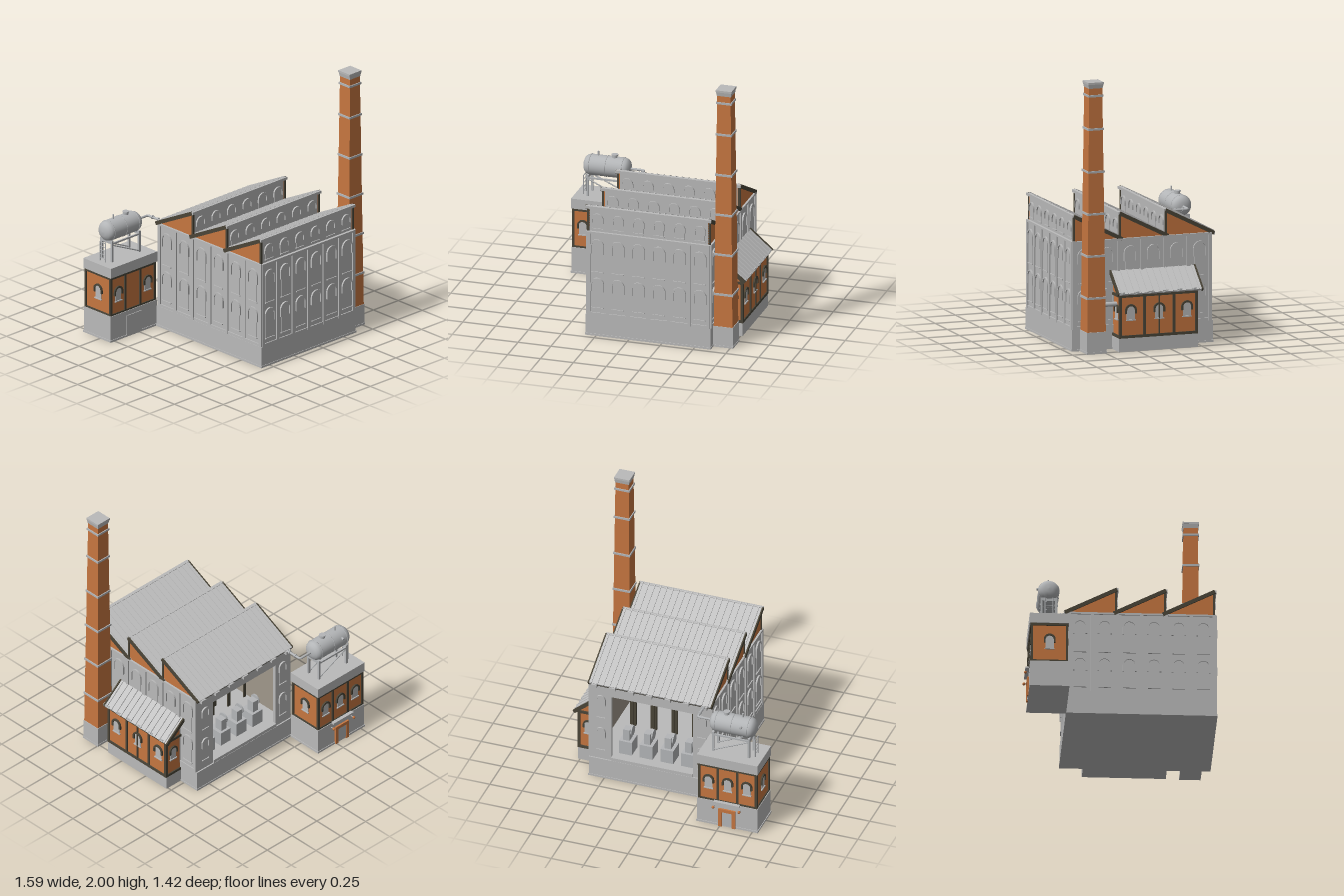
import * as THREE from 'three';

const mat = (name, color, side = THREE.FrontSide) => {
  const m = new THREE.MeshStandardMaterial({ color, side });
  m.name = name;
  return m;
};

export function createModel() {
  const root = new THREE.Group();
  root.name = 'factory';
  const stone = mat('pale stone', 0xbababa);
  const roofGrey = mat('roof metal', 0xc2c2c2);
  const brick = mat('orange brick', 0xc67640);
  const trim = mat('dark trim', 0x4a4538);
  const plaster = mat('inner plaster', 0xa0978a);
  const steel = mat('steel', 0xb4b6b8);

  // ---- helpers ----
  const group = (name, parent = root) => {
    const g = new THREE.Group();
    g.name = name;
    parent.add(g);
    return g;
  };
  const add = (p, name, geo, m) => {
    const mesh = new THREE.Mesh(geo, m);
    mesh.name = name;
    p.add(mesh);
    return mesh;
  };
  const box = (p, name, m, x0, x1, y0, y1, z0, z1) => {
    const b = add(p, name, new THREE.BoxGeometry(x1 - x0, y1 - y0, z1 - z0), m);
    b.position.set((x0 + x1) / 2, (y0 + y1) / 2, (z0 + z1) / 2);
    return b;
  };
  const rod = (p, name, m, a, b, r, sides = 10) => {
    const A = new THREE.Vector3(...a), B = new THREE.Vector3(...b), d = B.clone().sub(A);
    const c = add(p, name, new THREE.CylinderGeometry(r, r, d.length(), sides), m);
    c.position.copy(A).add(B).multiplyScalar(0.5);
    c.quaternion.setFromUnitVectors(new THREE.Vector3(0, 1, 0), d.normalize());
    return c;
  };
  const FACE = { front: 0, right: Math.PI / 2, back: Math.PI, left: -Math.PI / 2 };
  const facing = (p, name, dir, x, y, z) => {
    const g = group(name, p);
    g.position.set(x, y, z);
    g.rotation.y = FACE[dir];
    return g;
  };
  // outline of an arched opening standing on y = base
  const arch = (S, w, h, base = 0) => {
    const s = new S(), r = w / 2;
    s.moveTo(-r, base);
    s.lineTo(r, base);
    s.lineTo(r, h - r);
    s.absarc(0, h - r, r, 0, Math.PI, false);
    s.lineTo(-r, base);
    return s;
  };
  const extrude = (s, depth) => new THREE.ExtrudeGeometry(s, { depth, bevelEnabled: false, curveSegments: 6 });
  // arched window: pane, raised frame and sill
  const archWindow = (p, dir, x, y, z, w, h, frameMat, paneMat, t = 0.012) => {
    const g = facing(p, 'archedWindow', dir, x, y, z);
    add(g, 'pane', extrude(arch(THREE.Shape, w, h), 0.003), paneMat);
    const r = w / 2 + t, spring = h - w / 2, low = spring - h * 0.25;
    const f = new THREE.Shape();
    f.moveTo(w / 2, low);
    f.lineTo(r, low);
    f.lineTo(r, spring);
    f.absarc(0, spring, r, 0, Math.PI, false);
    f.lineTo(-r, low);
    f.lineTo(-w / 2, low);
    f.lineTo(-w / 2, spring);
    f.absarc(0, spring, w / 2, Math.PI, 0, true);
    add(g, 'hood', extrude(f, 0.012), frameMat);
    box(g, 'sill', paneMat, -w / 2 - 0.006, w / 2 + 0.006, -0.008, 0, 0, 0.01);
  };

  // ---- main hall ----
  const X0 = -0.32, X1 = 0.615, Z0 = -0.375, Z1 = 0.7, T = 0.025, TOP = 0.81;
  const hall = group('hall');
  box(hall, 'plinth', stone, X0 - 0.01, X1 + 0.005, 0.015, 0.16, Z0 - 0.01, Z1 + 0.008);
  box(hall, 'footing', stone, X0 - 0.014, X1 + 0.008, 0, 0.015, Z0 - 0.014, Z1 + 0.012);
  box(hall, 'frontWall', stone, X0, X1, 0.16, TOP, Z1 - T, Z1);
  box(hall, 'rightWall', stone, X1 - T, X1, 0.16, TOP, Z0, Z1 - T);
  box(hall, 'leftWall', stone, X0, X0 + T, 0.16, TOP, Z0, Z1 - T);
  const OX0 = -0.18, OX1 = 0.45, OY = 0.71;
  box(hall, 'backPier', stone, X0 + T, OX0, 0.16, TOP, Z0, Z0 + T);
  box(hall, 'backPier', stone, OX1, X1 - T, 0.16, TOP, Z0, Z0 + T);
  box(hall, 'lintel', stone, OX0, OX1, OY, TOP, Z0, Z0 + T);
  box(hall, 'openingSill', stone, OX0, OX1, 0.16, 0.185, Z0 - 0.008, Z0 + T);
  box(hall, 'innerLeft', plaster, X0 + T, X0 + T + 0.005, 0.16, 0.79, Z0 + T, Z1 - T);
  box(hall, 'innerRight', plaster, X1 - T - 0.005, X1 - T, 0.16, 0.79, Z0 + T, Z1 - T);
  box(hall, 'innerFront', plaster, X0 + T, X1 - T, 0.16, 0.79, Z1 - T - 0.005, Z1 - T);
  box(hall, 'ceiling', trim, X0 + T, X1 - T, 0.785, 0.795, Z0 + T, Z1 - T);

  // pilasters, bands and windows on the three closed walls
  const bays = 6;
  const wallRun = (dir, from, to, plane) => {
    const g = group(dir + 'Facade', hall), n = Math.abs(to - from), step = n / bays;
    const f = facing(g, 'panels', dir, ...(dir === 'front' ? [from, 0, plane] : [plane, 0, dir === 'right' ? to : from]));
    box(f, 'lowerBand', stone, 0, n, 0.16, 0.18, 0, 0.008);
    box(f, 'upperBand', stone, 0, n, 0.795, TOP, 0, 0.01);
    for (let i = 0; i <= bays; i++) {
      const c = Math.min(Math.max(i * step, 0.012), n - 0.012);
      box(f, 'pilaster', stone, c - 0.012, c + 0.012, 0.16, TOP, 0, 0.01);
    }
    for (let i = 0; i < bays; i++) {
      const c = (i + 0.5) * step;
      archWindow(f, 'front', c, 0.22, 0, 0.08, 0.22, stone, stone);
      archWindow(f, 'front', c, 0.5, 0, 0.08, 0.24, stone, stone);
    }
  };
  wallRun('front', X0, X1, Z1);
  wallRun('right', Z0, Z1, X1);
  wallRun('left', Z0, Z1, X0);
  for (const x of [-0.25, 0.53])
    for (const y of [0.24, 0.52]) archWindow(hall, 'back', x, y, Z0, 0.055, 0.18, stone, stone, 0.01);

  // ---- sawtooth roof ----
  const roof = group('sawtoothRoof');
  for (const peak of [0.69, 0.335, -0.02]) {
    const run = 0.355, rise = 0.18, a = Math.atan2(rise, run), len = Math.hypot(run, rise) + 0.025;
    const tooth = group('roofTooth', roof);
    const tri = new THREE.Shape();
    tri.moveTo(-peak, TOP);
    tri.lineTo(run - peak, TOP);
    tri.lineTo(-peak, TOP + rise - 0.005);
    for (const x of [X0 + 0.005, X1 - 0.02]) {
      const e = add(tooth, 'brickGable', extrude(tri, 0.015), brick);
      e.rotation.y = Math.PI / 2;
      e.position.x = x;
    }
    box(tooth, 'clerestoryWall', stone, X0 + 0.01, X1 - 0.01, 0.8, 0.985, peak - 0.012, peak);
    box(tooth, 'ridgeCap', stone, X0 - 0.012, X1 + 0.008, 0.985, 1.005, peak - 0.012, peak + 0.014);
    for (let i = 0; i < bays; i++) {
      const w = (X1 - X0) / bays;
      archWindow(tooth, 'front', X0 + (i + 0.5) * w, 0.835, peak, 0.07, 0.105, stone, stone, 0.01);
    }
    for (const x of [X0 + 0.006, X1 - 0.006])
      box(tooth, 'clerestoryEdge', trim, x - 0.008, x + 0.008, 0.81, 0.985, peak - 0.01, peak + 0.004);
    const slab = group('slope', tooth);
    slab.position.set(0, 0.9, peak - run / 2 - 0.008);
    slab.rotation.x = -a;
    box(slab, 'sheeting', roofGrey, X0 - 0.005, X1 + 0.002, -0.001, 0.012, -len / 2, len / 2);
    box(slab, 'underside', trim, X0 - 0.004, X1, -0.01, -0.001, -len / 2, len / 2);
    for (const x of [X0 - 0.01, X1 + 0.004])
      box(slab, 'verge', trim, x - 0.005, x + 0.005, -0.014, 0.014, -len / 2, len / 2);
    for (let i = 0; i < 20; i++) {
      const x = X0 + 0.018 + i * 0.0473;
      box(slab, 'seam', roofGrey, x - 0.004, x + 0.004, 0.01, 0.019, -len / 2, len / 2);
    }
  }
  for (let i = 0; i < 7; i++) {
    const x = X0 + 0.02 + i * 0.142;
    box(roof, 'eaveBracket', stone, x, x + 0.045, 0.785, 0.81, -0.41, Z0);
  }

  // ---- machines inside the hall ----
  const works = group('machinery');
  rod(works, 'lineShaft', trim, [-0.25, 0.68, -0.12], [0.55, 0.68, -0.12], 0.01);
  for (const x of [-0.1, 0.06, 0.22, 0.38]) {
    box(works, 'bench', steel, x - 0.05, x + 0.05, 0.16, 0.27, -0.27, -0.15);
    box(works, 'machineHead', steel, x - 0.025, x + 0.025, 0.27, 0.36, -0.25, -0.19);
    rod(works, 'flywheel', steel, [x - 0.04, 0.34, -0.21], [x - 0.03, 0.34, -0.21], 0.04, 16);
    box(works, 'belt', trim, x - 0.012, x + 0.012, 0.34, 0.7, -0.14, -0.13);
    box(works, 'column', trim, x + 0.055, x + 0.075, 0.16, 0.79, 0.1, 0.12);
  }

  // ---- chimney ----
  const chimney = group('chimney');
  const CX = 0.695, CZ = 0.57;
  const half = y => 0.071 - (y - 0.16) / 1.8 * 0.02;
  const square = (name, m, y0, y1, h0, h1) => {
    const g = new THREE.CylinderGeometry(h1 * Math.SQRT2, h0 * Math.SQRT2, y1 - y0, 4).rotateY(Math.PI / 4).toNonIndexed();
    g.computeVertexNormals();
    add(chimney, name, g, m).position.set(CX, (y0 + y1) / 2, CZ);
  };
  square('chimneyFoot', stone, 0, 0.015, 0.078, 0.078);
  square('chimneyBase', stone, 0.015, 0.16, 0.075, 0.075);
  square('shaft', brick, 0.16, 1.96, half(0.16), half(1.96));
  for (const y of [0.41, 0.72, 1.03, 1.34, 1.655, 1.9])
    square('band', steel, y - 0.008, y + 0.008, half(y) + 0.007, half(y) + 0.007);
  square('capFlare', stone, 1.955, 1.985, 0.053, 0.058);
  square('capTop', stone, 1.985, 2, 0.06, 0.06);
  rod(chimney, 'flue', steel, [0.695, 0.345, 0.39], [0.695, 0.345, 0.51], 0.017, 12);

  // ---- lean-to annex ----
  const annex = group('annex');
  const AX = 0.765;
  box(annex, 'annexBase', stone, X1, AX, 0, 0.1, -0.215, 0.395);
  box(annex, 'annexBrick', brick, X1, AX - 0.004, 0.1, 0.42, -0.205, 0.385);
  box(annex, 'bottomBeam', trim, X1, AX + 0.004, 0.1, 0.12, -0.215, 0.395);
  box(annex, 'topBeam', trim, X1, AX + 0.004, 0.4, 0.42, -0.215, 0.395);
  for (const z of [-0.205, -0.03, 0.2, 0.385])
    box(annex, 'post', trim, AX - 0.016, AX + 0.004, 0.11, 0.41, z - 0.01, z + 0.01);
  box(annex, 'mullion', trim, AX - 0.01, AX + 0.006, 0.12, 0.4, 0.081, 0.089);
  for (const z of [-0.13, 0.085, 0.305]) archWindow(annex, 'right', AX - 0.004, 0.235, z, 0.062, 0.1, trim, stone, 0.014);
  for (const [dir, z] of [['front', 0.385], ['back', -0.205]])
    archWindow(annex, dir, 0.69, 0.235, z, 0.055, 0.1, trim, stone, 0.012);
  const side = new THREE.Shape();
  side.moveTo(X1, 0.42);
  side.lineTo(AX, 0.42);
  side.lineTo(X1, 0.56);
  add(annex, 'annexGable', extrude(side, 0.59), brick).position.z = -0.205;
  const lean = group('leanRoof', annex);
  lean.position.set(0.7, 0.498, 0.083);
  lean.rotation.z = -Math.atan2(0.14, 0.165);
  box(lean, 'leanSheeting', roofGrey, -0.112, 0.112, -0.008, 0.008, -0.325, 0.325);
  for (const z of [-0.326, 0.326]) box(lean, 'leanVerge', trim, -0.114, 0.114, -0.014, 0.014, z - 0.006, z + 0.006);
  for (let i = 0; i < 13; i++) box(lean, 'leanSeam', roofGrey, -0.112, 0.112, 0.006, 0.014, -0.303 + i * 0.05, -0.297 + i * 0.05);
  box(annex, 'gutter', trim, 0.768, 0.78, 0.42, 0.434, -0.235, 0.4);
  for (let i = 0; i < 6; i++) box(annex, 'gutterBracket', steel, 0.772, 0.788, 0.424, 0.442, -0.2 + i * 0.112, -0.16 + i * 0.112);

  // ---- corner tower ----
  const tower = group('tower');
  const TX0 = -0.787, TX1 = -0.322, TZ0 = -0.672, TZ1 = -0.392;
  box(tower, 'towerFooting', stone, TX0 - 0.005, TX1 + 0.005, 0, 0.015, TZ0 - 0.005, TZ1 + 0.005);
  box(tower, 'towerBase', stone, TX0, TX1, 0.015, 0.2, TZ0, TZ1);
  box(tower, 'towerBrick', brick, TX0 + 0.012, TX1 - 0.012, 0.2, 0.5, TZ0 + 0.012, TZ1 - 0.012);
  box(tower, 'lowerBeam', trim, TX0 + 0.005, TX1 - 0.005, 0.2, 0.212, TZ0 + 0.005, TZ1 - 0.005);
  box(tower, 'upperBeam', trim, TX0 + 0.003, TX1 - 0.003, 0.485, 0.503, TZ0 + 0.003, TZ1 - 0.003);
  box(tower, 'parapet', stone, TX0 - 0.002, TX1 + 0.002, 0.503, 0.58, TZ0 - 0.003, TZ1 + 0.003);
  for (const x of [-0.774, -0.63, -0.479, -0.335])
    for (const z of [TZ0 + 0.013, TZ1 - 0.013]) box(tower, 'towerPost', trim, x - 0.009, x + 0.009, 0.2, 0.5, z - 0.008, z + 0.008);
  for (const x of [-0.702, -0.407]) archWindow(tower, 'front', x, 0.305, TZ1 - 0.012, 0.06, 0.1, trim, stone, 0.013);
  for (const x of [-0.702, -0.5545, -0.407]) archWindow(tower, 'back', x, 0.305, TZ0 + 0.012, 0.06, 0.1, trim, stone, 0.013);
  archWindow(tower, 'right', TX1 - 0.012, 0.305, -0.53, 0.06, 0.1, trim, stone, 0.013);
  archWindow(tower, 'left', TX0 + 0.012, 0.305, -0.53, 0.06, 0.1, trim, stone, 0.013);
  box(tower, 'frontPanel', stone, -0.63, -0.475, 0.01, 0.165, TZ1, TZ1 + 0.006);
  // back doorway with canopy and lamps
  const DX = -0.555;
  for (const s of [-1, 1]) {
    box(tower, 'doorJamb', brick, DX + s * 0.052 - 0.013, DX + s * 0.052 + 0.013, 0, 0.15, TZ0 - 0.014, TZ0);
    rod(tower, 'lampArm', steel, [DX + s * 0.1, 0.165, TZ0], [DX + s * 0.1, 0.165, -0.7], 0.004, 6);
    add(tower, 'lamp', new THREE.SphereGeometry(0.011, 10, 8), brick).position.set(DX + s * 0.1, 0.165, -0.7);
  }
  box(tower, 'doorHead', brick, DX - 0.065, DX + 0.065, 0.125, 0.15, TZ0 - 0.014, TZ0);
  box(tower, 'door', steel, DX - 0.039, DX + 0.039, 0.01, 0.125, TZ0 - 0.008, TZ0);
  box(tower, 'canopy', stone, DX - 0.1, DX + 0.1, 0.2, 0.213, -0.7, TZ0);

  // ---- water tank on its stand ----
  const tank = group('tank');
  const TY = 0.808, TZ = -0.532;
  const profile = [[0, -0.178], [0.03, -0.176], [0.055, -0.166], [0.07, -0.15], [0.077, -0.128],
    [0.077, 0.128], [0.07, 0.15], [0.055, 0.166], [0.03, 0.176], [0, 0.178]].map(p => new THREE.Vector2(...p));
  const shell = add(tank, 'tankShell', new THREE.LatheGeometry(profile, 28), steel);
  shell.rotation.z = Math.PI / 2;
  shell.position.set(-0.555, TY, TZ);
  for (const x of [-0.68, -0.555, -0.43]) {
    const ring = add(tank, 'tankHoop', new THREE.TorusGeometry(0.077, 0.003, 6, 28), steel);
    ring.rotation.y = Math.PI / 2;
    ring.position.set(x, TY, TZ);
  }
  rod(tank, 'hatch', steel, [-0.5, 0.875, TZ], [-0.5, 0.9, TZ], 0.02, 16);
  rod(tank, 'hatchLid', steel, [-0.5, 0.9, TZ], [-0.5, 0.908, TZ], 0.025, 16);
  rod(tank, 'vent', steel, [-0.625, 0.875, TZ], [-0.625, 0.918, TZ], 0.006, 10);
  rod(tank, 'sideValve', steel, [-0.635, 0.84, -0.59], [-0.635, 0.84, -0.618], 0.01, 10);
  for (const x of [-0.69, -0.415]) {
    for (const z of [-0.585, -0.479]) box(tank, 'leg', steel, x - 0.008, x + 0.008, 0.58, 0.74, z - 0.008, z + 0.008);
    box(tank, 'cradle', steel, x - 0.009, x + 0.009, 0.72, 0.745, -0.593, -0.471);
  }
  for (const z of [-0.585, -0.479]) {
    box(tank, 'rail', steel, -0.69, -0.415, 0.715, 0.728, z - 0.006, z + 0.006);
    rod(tank, 'brace', steel, [-0.685, 0.71, z], [-0.42, 0.59, z], 0.005, 6);
  }
  for (const z of [-0.56, -0.504]) rod(tank, 'ladderRail', steel, [-0.73, 0.58, z], [-0.73, 0.73, z], 0.004, 6);
  for (let y = 0.605; y < 0.73; y += 0.03) rod(tank, 'rung', steel, [-0.73, y, -0.56], [-0.73, y, -0.504], 0.003, 6);
  // feed pipe into the hall
  const bend = new THREE.CurvePath();
  const P = (x, z) => new THREE.Vector3(x, TY, z);
  bend.add(new THREE.LineCurve3(P(-0.385, TZ), P(-0.295, TZ)));
  bend.add(new THREE.QuadraticBezierCurve3(P(-0.295, TZ), P(-0.275, TZ), P(-0.275, TZ + 0.02)));
  bend.add(new THREE.LineCurve3(P(-0.275, TZ + 0.02), P(-0.275, -0.37)));
  add(tank, 'feedPipe', new THREE.TubeGeometry(bend, 40, 0.009, 10), steel);
  rod(tank, 'pipeFlange', steel, [-0.275, TY, -0.49], [-0.275, TY, -0.48], 0.014, 12);
  rod(tank, 'pipeFlange', steel, [-0.275, TY, -0.43], [-0.275, TY, -0.42], 0.014, 12);
  return root;
}
